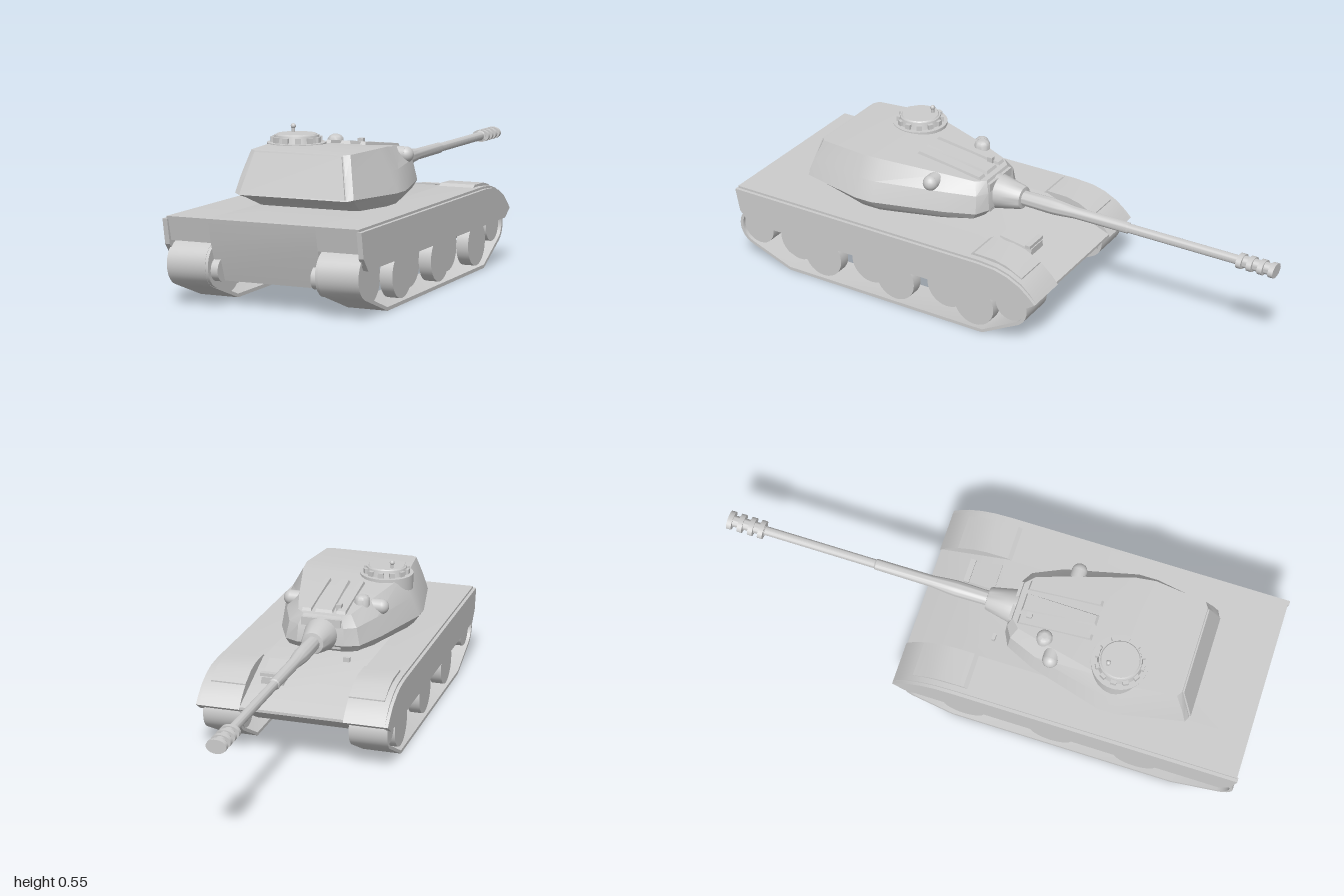
import * as THREE from 'three';
import { toCreasedNormals } from 'three/addons/utils/BufferGeometryUtils.js';

const material = new THREE.MeshStandardMaterial({ color: 0xcccccc, side: THREE.DoubleSide });
const rad = THREE.MathUtils.degToRad;

export function createModel() {
  const root = new THREE.Group();

  const add = (name, geometry, x = 0, y = 0, z = 0, parent = root) => {
    const mesh = new THREE.Mesh(geometry, material);
    mesh.name = name;
    mesh.position.set(x, y, z);
    parent.add(mesh);
    return mesh;
  };
  const box = (w, h, d) => new THREE.BoxGeometry(w, h, d);
  const cylX = (r, len, seg = 28) => new THREE.CylinderGeometry(r, r, len, seg).rotateZ(Math.PI / 2);

  // Side profile of [z, y] points extruded across x
  const extrudeX = (pts, xa, xb, hole) => {
    const v = (list) => list.map(([z, y]) => new THREE.Vector2(z, y));
    const shape = new THREE.Shape(v(pts));
    if (hole) shape.holes.push(new THREE.Path(v(hole)));
    const [x0, x1] = [Math.min(xa, xb), Math.max(xa, xb)];
    const g = new THREE.ExtrudeGeometry(shape, { depth: x1 - x0, bevelEnabled: false });
    g.rotateY(-Math.PI / 2).translate(x1, 0, 0);
    return toCreasedNormals(g, 0.5);
  };

  // Mirrored half outlines of [x, y, z] points, joined from the lowest ring to the highest
  const loft = (halves, crease) => {
    const rings = halves.map((h) => [...h, ...h.map(([x, y, z]) => [-x, y, z]).reverse()]);
    const n = rings[0].length, pos = [];
    const tri = (...p) => p.forEach((q) => pos.push(...q));
    for (let r = 0; r < rings.length - 1; r++)
      for (let i = 0; i < n; i++) {
        const j = (i + 1) % n, lo = rings[r], hi = rings[r + 1];
        tri(lo[i], hi[i], lo[j]);
        tri(lo[j], hi[i], hi[j]);
      }
    // Caps are strips between the mirrored halves
    const cap = (ring, up) => {
      for (let i = 0; i < n / 2 - 1; i++) {
        const a = ring[i], b = ring[i + 1], c = ring[n - 2 - i], d = ring[n - 1 - i];
        if (up) { tri(a, d, b); tri(b, d, c); } else { tri(a, b, d); tri(b, c, d); }
      }
    };
    cap(rings[0], false);
    cap(rings[rings.length - 1], true);
    const g = new THREE.BufferGeometry();
    g.setAttribute('position', new THREE.Float32BufferAttribute(pos, 3));
    return toCreasedNormals(g, crease);
  };

  // Central hull with sloped nose and tail
  add('hull', extrudeX([[0.995, 0.293], [0.975, 0.212], [0.93, 0.085], [-0.08, 0.085],
    [-0.265, 0.185], [-0.265, 0.195], [-0.01, 0.293]], -0.19, 0.19));

  // Track outline, shrunk by t for the inner face
  const trackPath = (t) => {
    const p = [];
    for (let a = 90; a >= -69; a -= 10.6)
      p.push([0.92 + (0.077 - t) * Math.cos(rad(a)), 0.135 + (0.077 - t) * Math.sin(rad(a))]);
    p.push([0.78, t], [-0.05, t]);
    for (let a = -120; a >= -270; a -= 10)
      p.push([-0.16 + (0.072 - t) * Math.cos(rad(a)), 0.14 + (0.072 - t) * Math.sin(rad(a))]);
    return p;
  };

  for (const s of [1, -1]) {
    // Sponson with curved front fender
    add('sponson', extrudeX([[0.995, 0.293], [0.975, 0.212], [-0.16, 0.214], [-0.21, 0.2], [-0.255, 0.175],
      [-0.27, 0.187], [-0.245, 0.217], [-0.21, 0.248], [-0.16, 0.273], [-0.11, 0.287], [-0.04, 0.293]], s * 0.19, s * 0.34));
    add('fenderTop', extrudeX([[0.01, 0.29], [-0.01, 0.302], [-0.09, 0.3], [-0.14, 0.288],
      [-0.2, 0.258], [-0.2, 0.24], [-0.1, 0.27]], s * 0.19, s * 0.32));
    add('sideSkirt', extrudeX([[1, 0.285], [0.985, 0.2], [0.95, 0.157], [-0.225, 0.157], [-0.27, 0.187],
      [-0.245, 0.212], [-0.21, 0.241], [-0.16, 0.266], [-0.11, 0.28], [-0.04, 0.285]], s * 0.335, s * 0.352));

    // Running gear
    add('track', extrudeX(trackPath(0), s * 0.2, s * 0.34, trackPath(0.012)));
    add('rearIdler', cylX(0.065, 0.13), s * 0.262, 0.135, 0.92);
    add('idlerRim', cylX(0.076, 0.02), s * 0.2, 0.135, 0.92);
    add('idlerHub', cylX(0.038, 0.04), s * 0.185, 0.122, 0.94);
    add('frontSprocket', cylX(0.06, 0.13), s * 0.262, 0.14, -0.16);
    [0.78, 0.635, 0.46, 0.32, 0.135, -0.01].forEach((z, i) => {
      const outer = i % 2 === 1;
      add('roadWheel', cylX(0.08, 0.045), s * (outer ? 0.305 : 0.255), 0.095, z);
    });
  }

  // Driver's hatch and fittings on the sloped nose
  add('driverHatch', loft([
    [[0.05, 0.2, -0.14], [0.058, 0.24, -0.02]],
    [[0.038, 0.268, -0.14], [0.05, 0.296, -0.02]]], 0.3), 0.112);
  add('hatchRim', box(0.09, 0.012, 0.02), 0.112, 0.276, -0.128);
  add('towBracket', box(0.025, 0.025, 0.012), -0.11, 0.297, 0.035);

  // Turret shell
  const turret = new THREE.Group();
  turret.name = 'turret';
  root.add(turret);
  const part = (name, g, x, y, z) => add(name, g, x, y, z, turret);
  part('turretShell', loft([
    [[0.07, 0.288, 0.14], [0.11, 0.288, 0.16], [0.15, 0.288, 0.24], [0.215, 0.288, 0.45],
      [0.215, 0.288, 0.52], [0.18, 0.288, 0.64], [0.16, 0.288, 0.65]],
    [[0.085, 0.31, 0.09], [0.13, 0.31, 0.11], [0.175, 0.312, 0.21], [0.245, 0.315, 0.45],
      [0.245, 0.315, 0.52], [0.2, 0.325, 0.72], [0.18, 0.325, 0.73]],
    [[0.09, 0.335, 0.07], [0.14, 0.335, 0.095], [0.19, 0.34, 0.2], [0.262, 0.34, 0.46],
      [0.262, 0.34, 0.53], [0.215, 0.345, 0.765], [0.195, 0.34, 0.775]],
    [[0.085, 0.4, 0.075], [0.127, 0.4, 0.1], [0.172, 0.41, 0.205], [0.233, 0.41, 0.46],
      [0.235, 0.41, 0.53], [0.2, 0.41, 0.745], [0.18, 0.41, 0.752]],
    [[0.07, 0.44, 0.09], [0.1, 0.442, 0.12], [0.13, 0.457, 0.22], [0.192, 0.483, 0.46],
      [0.2, 0.486, 0.53], [0.18, 0.484, 0.715], [0.16, 0.483, 0.728]]], 0.35));
  part('rearPlate', loft([
    [[0.19, 0.345, 0.74], [0.19, 0.345, 0.78]],
    [[0.158, 0.478, 0.7], [0.158, 0.478, 0.735]]], 0.3));

  // Raised gun housing: three tapered ribs on the roof
  for (const [x, w] of [[-0.065, 0.016], [0, 0.03], [0.065, 0.016]])
    part('roofRib', loft([
      [[w * 1.3, 0.42, 0.1], [w * 0.9, 0.46, 0.39]],
      [[w, 0.452, 0.115], [w, 0.478, 0.22], [w * 0.5, 0.484, 0.37]].filter((_, i) => i !== 1)], 0.3), x);

  // Commander's cupola with vision blocks
  const cx = -0.125, cz = 0.495;
  part('cupolaBulge', new THREE.CylinderGeometry(0.1, 0.1, 0.09, 36), cx, 0.443, cz);
  part('cupolaFairing', loft([
    [[0.012, 0.44, 0.34], [0.07, 0.44, 0.44]],
    [[0.006, 0.465, 0.35], [0.055, 0.487, 0.44]]], 0.3), cx);
  part('cupolaRing', new THREE.CylinderGeometry(0.074, 0.08, 0.026, 36), cx, 0.5, cz);
  part('cupolaLid', new THREE.CylinderGeometry(0.066, 0.073, 0.008, 36), cx, 0.513, cz);
  for (let i = 0; i < 12; i++) {
    const a = (i / 12) * Math.PI * 2;
    const block = part('visionBlock', box(0.02, 0.018, 0.016),
      cx + 0.079 * Math.sin(a), 0.498, cz + 0.079 * Math.cos(a));
    block.rotation.y = a;
  }
  part('periscopeStem', new THREE.CylinderGeometry(0.006, 0.006, 0.03, 12), -0.155, 0.525, 0.46);
  part('periscopeHead', new THREE.SphereGeometry(0.009, 16, 10), -0.155, 0.537, 0.46);

  // Rangefinder ears and roof dome
  for (const s of [1, -1]) {
    part('rangefinderArm', cylX(0.028, 0.06, 20), s * 0.145, 0.433, 0.26);
    part('rangefinderCap', new THREE.SphereGeometry(0.028, 20, 12), s * 0.173, 0.433, 0.26);
  }
  const dome = [[0.028, -0.03], [0.028, 0.012], [0.022, 0.022], [0.01, 0.028], [0, 0.029]];
  part('roofDome', toCreasedNormals(new THREE.LatheGeometry(dome.map((p) => new THREE.Vector2(...p)), 24), 0.6),
    -0.112, 0.458, 0.22);
  part('smallPeriscope', box(0.02, 0.03, 0.02), -0.048, 0.452, 0.145);

  // Gun: mantlet, sleeve, barrel and muzzle as one turned profile of [radius, distance forward]
  const gunY = 0.369;
  const gun = [[0, -0.14], [0.068, -0.14], [0.07, -0.11], [0.056, -0.045], [0.043, 0.015], [0.04, 0.022],
    [0.027, 0.024], [0.029, 0.14], [0.027, 0.17], [0.021, 0.23], [0.02, 0.44], [0.0165, 0.445],
    [0.0165, 0.86], [0.021, 0.862], [0.021, 0.998], [0.012, 0.998], [0.012, 0.95], [0, 0.95]];
  part('gun', toCreasedNormals(
    new THREE.LatheGeometry(gun.map((p) => new THREE.Vector2(...p)), 28).rotateX(-Math.PI / 2), 0.5), 0, gunY, 0);
  part('mantletBlock', box(0.15, 0.11, 0.06), 0, 0.375, 0.105);

  // Muzzle brake baffles
  for (const z of [-0.872, -0.91, -0.95, -0.99])
    part('muzzleBaffle', new THREE.CylinderGeometry(0.024, 0.024, 0.018, 24).rotateX(Math.PI / 2).scale(1.45, 1, 1),
      0, gunY, z);

  return root;
}
